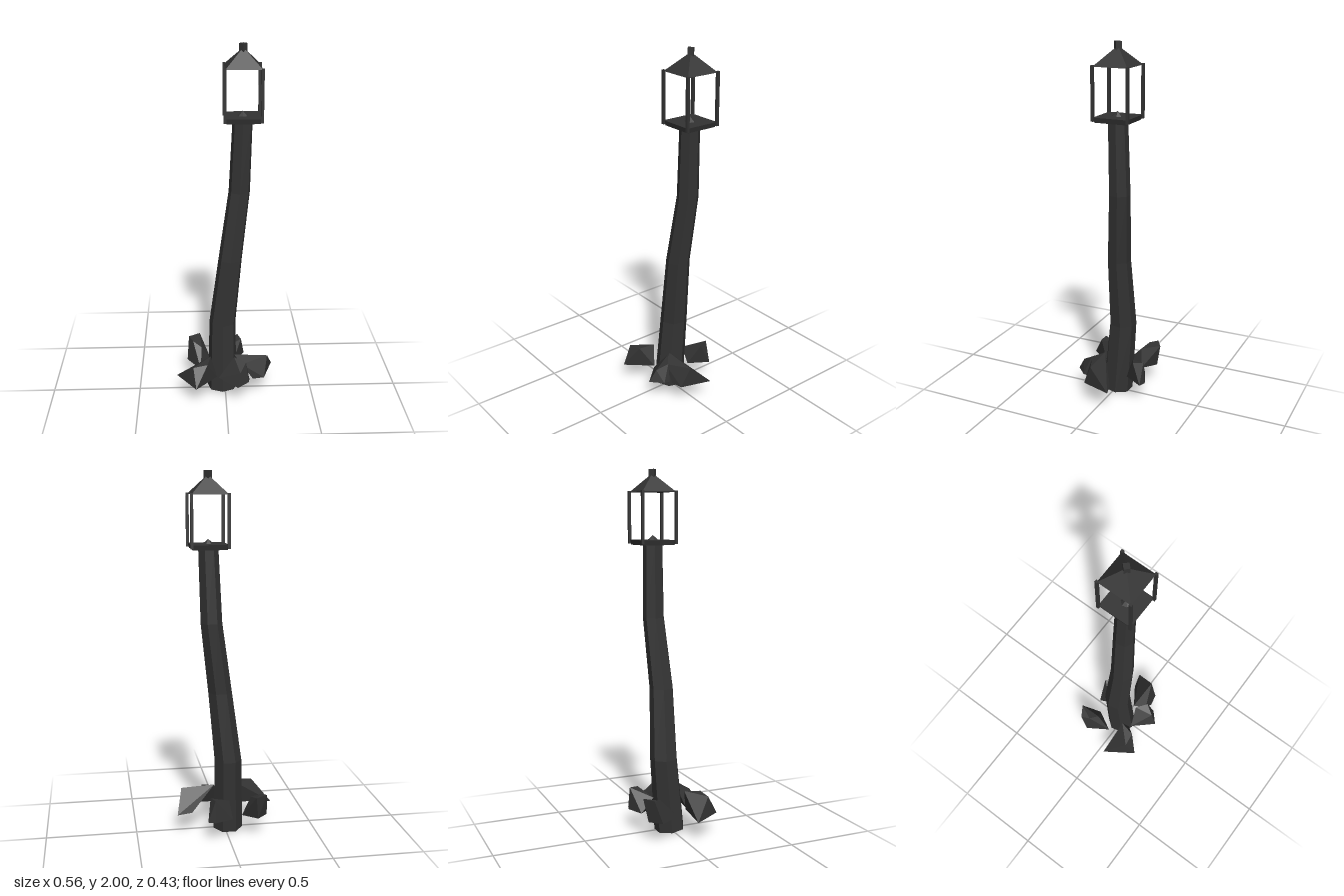
import * as THREE from 'three';
import { ConvexGeometry } from 'three/addons/geometries/ConvexGeometry.js';

export function createModel() {
  const model = new THREE.Group();
  model.name = 'lanternPost';
  const iron = new THREE.MeshStandardMaterial({ color: 0x333333, flatShading: true });
  iron.name = 'dark iron grey';

  const add = (name, geometry, parent, x = 0, y = 0, z = 0) => {
    const mesh = new THREE.Mesh(geometry, iron);
    mesh.name = name;
    mesh.position.set(x, y, z);
    parent.add(mesh);
    return mesh;
  };

  // Crooked seven-sided post: each ring is [centre x, y, centre z, radius]
  const rings = [
    [-0.017, 0.012, -0.004, 0.085],
    [-0.013, 0.42, -0.036, 0.077],
    [0.03, 0.81, -0.031, 0.067],
    [0.08, 1.2, -0.056, 0.06],
    [0.095, 1.6, -0.053, 0.055],
  ];
  const postGeometry = new THREE.CylinderGeometry(1, 1, 4, 7, 4);
  const pos = postGeometry.attributes.position;
  for (let i = 0; i < pos.count; i++) {
    const row = Math.round(pos.getY(i) + 2);
    const [cx, cy, cz, r] = rings[row];
    const x = pos.getX(i), z = pos.getZ(i);
    let y = cy;
    if (row === 0) y += z * 0.008; // slanted foot
    if (row === 4 && Math.hypot(x, z) < 0.01) y = 1.648; // pointed tip
    pos.setXYZ(i, cx + x * r, y, cz + z * r);
  }
  postGeometry.computeVertexNormals();
  add('post', postGeometry, model);

  // Lantern cage on top of the post
  const lantern = new THREE.Group();
  lantern.name = 'lantern';
  lantern.position.set(0.095, 0, -0.055);
  model.add(lantern);

  const half = 0.097;
  const squareFrustum = (top, bottom, height) =>
    new THREE.CylinderGeometry(top * Math.SQRT2, bottom * Math.SQRT2, height, 4).rotateY(Math.PI / 4);
  add('lanternFloor', squareFrustum(half, half - 0.007, 0.027), lantern, 0, 1.6085, 0);
  for (const sx of [-1, 1]) {
    for (const sz of [-1, 1]) {
      add('cornerBar', new THREE.BoxGeometry(0.015, 0.283, 0.015), lantern, sx * half, 1.7435, sz * half);
    }
  }
  const roof = new THREE.ConeGeometry(half * Math.SQRT2, 0.1, 4).rotateY(Math.PI / 4);
  add('lanternRoof', roof, lantern, 0, 1.928, 0);
  add('roofFinial', new THREE.CylinderGeometry(0.022, 0.022, 0.05, 4), lantern, 0, 1.975, 0);

  // Angular flat-bottomed rocks around the foot, each the hull of a few corners
  const rocks = {
    frontRightRock: [
      [-0.28, 0.12, 0.05], [-0.17, 0.12, 0.215], [-0.05, 0.12, 0.08], [-0.085, 0.24, 0.055],
      [-0.105, 0.235, 0.145], [-0.185, 0.225, 0.155],
    ],
    backRightRock: [
      [-0.145, 0.25, -0.215], [-0.21, 0.25, -0.175], [-0.185, 0.24, -0.13], [-0.135, 0.215, -0.1],
      [-0.08, 0.12, -0.125], [-0.22, 0.12, -0.13], [-0.143, 0.12, -0.01], [-0.16, 0.12, -0.19],
    ],
    frontRock: [
      [-0.04, 0.12, 0.09], [0.05, 0.235, 0.06], [0.115, 0.225, 0.105], [0.135, 0.12, 0.11],
      [0.13, 0.12, 0.145], [0.065, 0.12, 0.205], [0.08, 0.19, 0.165],
    ],
    leftRock: [
      [0.275, 0.12, -0.075], [0.24, 0.235, 0.045], [0.05, 0.245, 0.045], [0.09, 0.215, 0.108],
      [0.155, 0.12, 0.108], [0.22, 0.12, 0.095], [0.19, 0.12, -0.05],
    ],
    backRock: [
      [0.08, 0.12, -0.215], [0.12, 0.12, -0.2], [0.08, 0.245, -0.205], [-0.02, 0.12, -0.175],
      [0.1, 0.24, -0.15], [-0.012, 0.2, -0.1], [0.05, 0.12, -0.09],
    ],
  };
  for (const [name, corners] of Object.entries(rocks)) {
    add(name, new ConvexGeometry(corners.map((c) => new THREE.Vector3(...c))), model);
  }
  return model;
}
